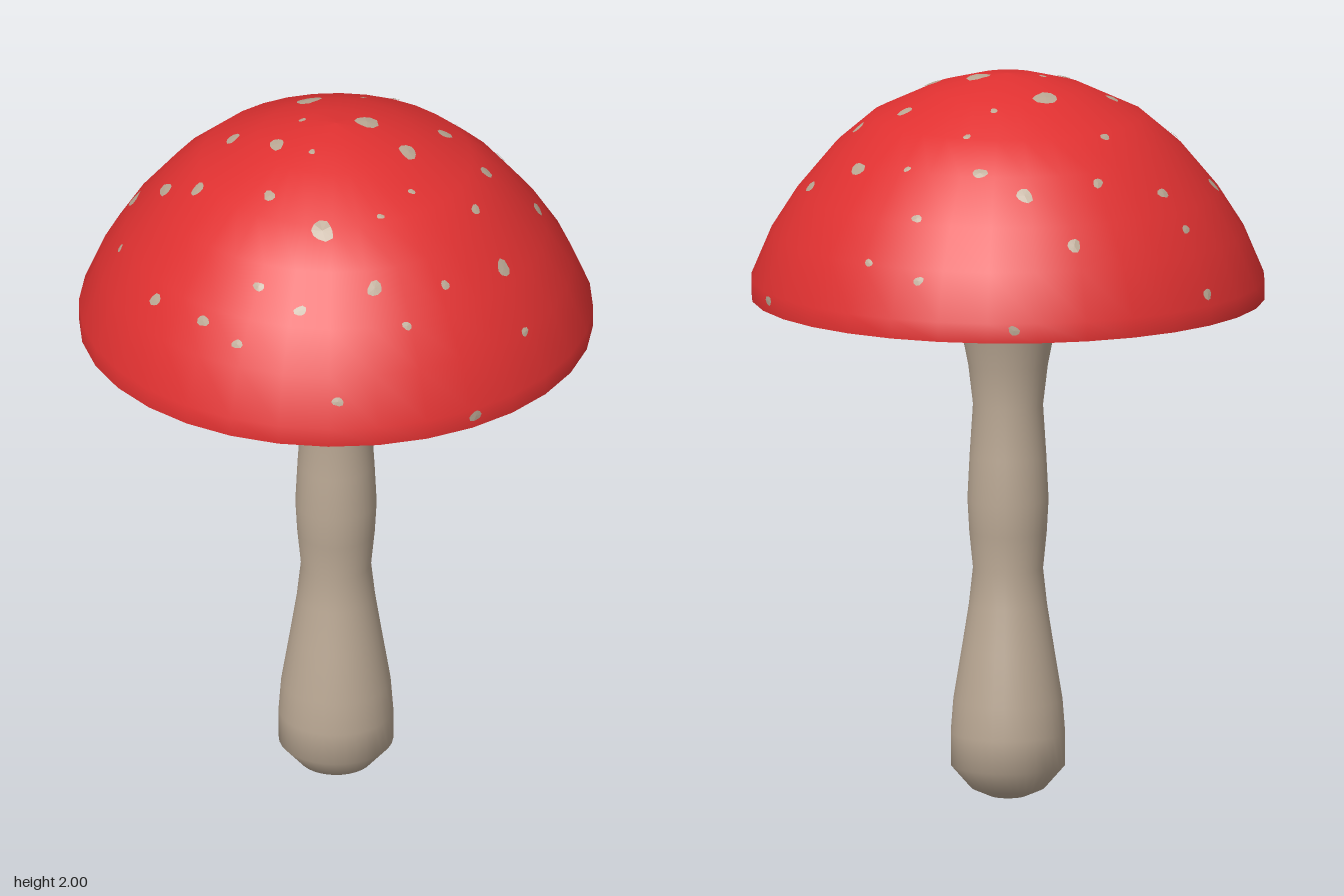
import * as THREE from 'three';

const SEG = 32;
const STEP = (Math.PI * 2) / SEG;

const capRed = new THREE.MeshStandardMaterial({ color: 0xe03131 });
capRed.name = 'cap red';
const stemBeige = new THREE.MeshStandardMaterial({ color: 0xbaa894 });
stemBeige.name = 'stem beige';
const gillDark = new THREE.MeshStandardMaterial({ color: 0x3e2a33, side: THREE.DoubleSide });
gillDark.name = 'dark plum';
const gillLight = new THREE.MeshStandardMaterial({ color: 0x7a5564, side: THREE.DoubleSide });
gillLight.name = 'light plum';

const toPoints = (list) => list.map(([r, y]) => new THREE.Vector2(r, y));

// Dome profile, from the rim to the crown
const capProfile = toPoints([
  [0.695, 1.386], [0.695, 1.44], [0.64, 1.57], [0.57, 1.68], [0.47, 1.80],
  [0.37, 1.885], [0.21, 1.96], [0.09, 1.992], [0, 2.0],
]);

const stemProfile = toPoints([
  [0, 0.005], [0.05, 0.015], [0.1, 0.037], [0.155, 0.1], [0.155, 0.19], [0.148, 0.28],
  [0.125, 0.42], [0.106, 0.54], [0.095, 0.64], [0.105, 0.74], [0.11, 0.83],
  [0.104, 0.95], [0.095, 1.09], [0.108, 1.2], [0.124, 1.28], [0.145, 1.375],
]);

// Spots on the dome: x and z in hundredths, radius in thousandths
const spotList = [
  [13, -67, 17], [10, -59, 15], [10, -52, 18], [-22, -51, 25], [-40, -43, 12], [43, -42, 20],
  [27, -41, 16], [-29, -36, 25], [13, -36, 14], [-13, -25, 22], [43, -27, 23], [-32, -23, 22],
  [-56, -20, 19], [11, -17, 35], [44, -14, 19], [-15, -9, 24], [-3, -9, 10], [24, -8, 11],
  [36, -6, 11], [65, -6, 14], [-59, -2, 18], [56, -1, 14], [-31, 0, 18], [-14, 2, 10],
  [6, 6, 33], [46, 7, 10], [-60, 10, 15], [-50, 10, 15], [63, 10, 12], [-33, 19, 32],
  [24, 19, 22], [4, 21, 28], [-49, 23, 16], [42, 24, 24], [-20, 29, 10], [-7, 30, 10],
  [22, 34, 20], [-34, 37, 22], [6, 42, 16], [35, 42, 21], [-54, 39, 15], [-33, 47, 13],
  [-18, 49, 14], [2, 54, 25], [-2, 64, 13], [-26, 65, 18], [52, 46, 16], [61, -33, 15],
];

// Point of the faceted dome at an angle and a distance along the profile
function capPoint(angle, dist, lift) {
  let i = 0;
  let rest = dist;
  while (i < capProfile.length - 2 && rest > capProfile[i].distanceTo(capProfile[i + 1])) {
    rest -= capProfile[i].distanceTo(capProfile[i + 1]);
    i++;
  }
  const a = capProfile[i];
  const dir = capProfile[i + 1].clone().sub(a).normalize();
  const turn = (((angle % STEP) + STEP) % STEP) - STEP / 2;
  const facet = Math.cos(STEP / 2) / Math.cos(turn);
  const r = (a.x + dir.x * rest) * facet + dir.y * lift;
  return new THREE.Vector3(Math.sin(angle) * r, a.y + dir.y * rest - dir.x * lift, Math.cos(angle) * r);
}

// Distance along the profile at which the dome has radius r
function distanceAt(r) {
  let d = 0;
  for (let i = 0; i < capProfile.length - 1; i++) {
    const a = capProfile[i], b = capProfile[i + 1];
    const len = a.distanceTo(b);
    if (i > 0 && r >= b.x) return d + len * Math.min(1, Math.max(0, (a.x - r) / (a.x - b.x)));
    d += len;
  }
  return d;
}

function triangles(tris) {
  const g = new THREE.BufferGeometry().setFromPoints(tris);
  g.computeVertexNormals();
  return g;
}

// Thin irregular patches that follow the dome
function spotsGeometry() {
  const tris = [];
  const n = 10;
  spotList.forEach(([px, pz, size], k) => {
    const x = px / 100, z = pz / 100, rad = size / 1000;
    const r = Math.hypot(x, z);
    const angle = Math.atan2(x, z);
    const mid = r > 0.688 ? 0.035 : distanceAt(r);
    const ring = [];
    for (let j = 0; j < n; j++) {
      const t = (j / n) * Math.PI * 2;
      const q = rad * (1 + 0.14 * Math.sin(2 * t + k) + 0.08 * Math.sin(3 * t + k * 2.3));
      const dist = Math.max(0.002, mid + Math.sin(t) * q * 0.9);
      ring.push(capPoint(angle + (Math.cos(t) * q) / r, dist, 0.003));
    }
    const centre = capPoint(angle, mid, 0.004);
    ring.forEach((p, j) => tris.push(centre, p, ring[(j + 1) % n]));
  });
  return triangles(tris);
}

// Pleated gills: each is a ridge that tapers to a point before the rim
function gillsGeometry() {
  const tris = [];
  const at = (r, y, a) => new THREE.Vector3(Math.sin(a) * r, y, Math.cos(a) * r);
  for (let i = 0; i < SEG; i++) {
    const a = (i + 0.5) * STEP;
    const ridge = at(0.11, 1.334, a);
    const tip = at(0.62, 1.38, a);
    for (const s of [-1, 1]) {
      const inner = at(0.11, 1.366, a + s * STEP * 0.5);
      const outer = at(0.42, 1.373, a + s * STEP * 0.46);
      const faces = [[ridge, inner, outer], [ridge, outer, tip]];
      faces.forEach(([p, q, r]) => (s < 0 ? tris.push(p, q, r) : tris.push(p, r, q)));
    }
  }
  // Keep every face turned downward
  for (let i = 0; i < tris.length; i += 3) {
    const u = tris[i + 1].clone().sub(tris[i]);
    const v = tris[i + 2].clone().sub(tris[i]);
    if (u.cross(v).y > 0) [tris[i + 1], tris[i + 2]] = [tris[i + 2], tris[i + 1]];
  }
  return triangles(tris);
}

export function createModel() {
  const model = new THREE.Group();
  model.name = 'mushroom';
  const add = (name, geometry, material) => {
    const mesh = new THREE.Mesh(geometry, material);
    mesh.name = name;
    model.add(mesh);
  };
  add('stem', new THREE.LatheGeometry(stemProfile, SEG), stemBeige);
  add('cap', new THREE.LatheGeometry(capProfile, SEG), capRed);
  add('capUnderside', new THREE.LatheGeometry(toPoints([[0.08, 1.367], [0.695, 1.386]]), SEG), gillDark);
  add('gills', gillsGeometry(), gillLight);
  add('spots', spotsGeometry(), stemBeige);
  return model;
}
